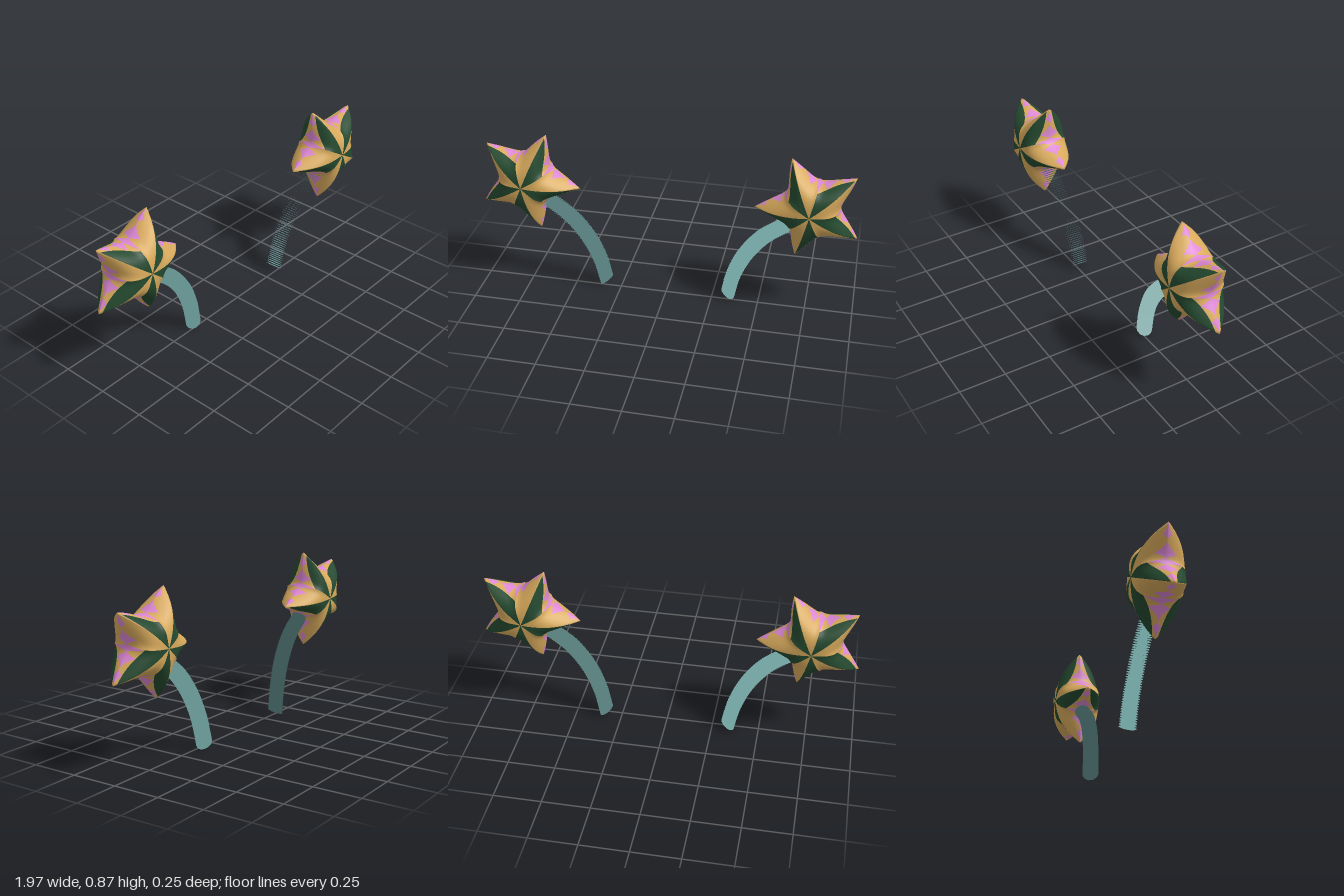
import * as THREE from 'three';
import { mergeGeometries, mergeVertices } from 'three/addons/utils/BufferGeometryUtils.js';

const COLORS = { gold: 0xd8aa5c, green: 0x24492f, pink: 0xdd88d5, stalk: 0x6a9a98 };
const TIP_R = 0.285, VALLEY_R = 0.15, HALF_DEPTH = 0.125;
const lerp = THREE.MathUtils.lerp;

// Point on the puffed star: s runs valley (0) to tip (1), t runs centre (0) to rim (1)
function starPoint(tipAngle, dir, s, t, zSign, side) {
  const a = tipAngle + dir * (1 - s) * Math.PI / 5;
  const r = t * (VALLEY_R + (TIP_R - VALLEY_R) * Math.pow(s, 2.1));
  const z = HALF_DEPTH * Math.pow(Math.max(0, 1 - Math.pow(t, lerp(4, 2.5, s))), lerp(0.5, 1, s));
  return new THREE.Vector3(side * r * Math.cos(a), r * Math.sin(a), zSign * z);
}

// Columns of half an arm; each span is a rising or falling side of a diamond
const SPANS = [[0, 0.18, false], [0.18, 0.44, true], [0.44, 0.7, false], [0.7, 0.85, true], [0.85, 1, false]];
const STEPS = 4, CAP_ROWS = 9;

function createStar(side) {
  const points = [], colors = [];
  const ab = new THREE.Vector3(), ac = new THREE.Vector3(), n = new THREE.Vector3();
  const addTriangle = (a, b, c, color) => {
    n.crossVectors(ab.subVectors(b, a), ac.subVectors(c, a));
    if (n.length() < 1e-10) return;
    const outward = n.dot(a) + n.dot(b) + n.dot(c) > 0;
    points.push(a, outward ? b : c, outward ? c : b);
    colors.push(color);
  };

  for (let arm = 0; arm < 5; arm++) for (const dir of [-1, 1]) for (const zSign of [-1, 1]) {
    const tipAngle = THREE.MathUtils.degToRad(41 + 72 * arm);
    const faceColor = dir > 0 ? 'green' : 'gold';
    const capEdge = s => lerp(0.85, 0.95, s);
    const cap = (s, v) => starPoint(tipAngle, dir, s, capEdge(s) * v, zSign, side);
    const band = (s, w) => starPoint(tipAngle, dir, s, 1 - (1 - capEdge(s)) * w * w, zSign, side);

    for (const [s0, s1, rising] of SPANS) for (let i = 0; i < STEPS; i++) {
      const sa = lerp(s0, s1, i / STEPS), sb = lerp(s0, s1, (i + 1) / STEPS);
      // Front or back face wedge
      for (let j = 0; j < CAP_ROWS; j++) {
        const v0 = j / CAP_ROWS, v1 = (j + 1) / CAP_ROWS;
        addTriangle(cap(sa, v0), cap(sa, v1), cap(sb, v1), faceColor);
        addTriangle(cap(sa, v0), cap(sb, v1), cap(sb, v0), faceColor);
      }
      // Diamond band round the rim, cells split along the diamond edges
      for (let j = 0; j < STEPS; j++) {
        const w0 = j / STEPS, w1 = (j + 1) / STEPS;
        const column = rising ? i : STEPS - 1 - i;
        const [inner, outer] = rising ? [sb, sa] : [sa, sb];
        addTriangle(band(outer, w0), band(inner, w0), band(inner, w1), j <= column ? 'pink' : 'gold');
        addTriangle(band(outer, w0), band(inner, w1), band(outer, w1), j < column ? 'pink' : 'gold');
      }
    }
  }

  // Smooth the whole skin first, then part it by colour
  const skin = mergeVertices(new THREE.BufferGeometry().setFromPoints(points), 1e-5);
  skin.computeVertexNormals();
  const star = new THREE.Group();
  star.name = 'star';
  const index = Array.from(skin.index.array);
  const names = { gold: 'starGoldPanels', green: 'starGreenPanels', pink: 'starPinkDiamonds' };
  for (const color of Object.keys(names)) {
    const part = skin.clone();
    part.setIndex(index.filter((_, k) => colors[Math.floor(k / 3)] === color));
    const mesh = new THREE.Mesh(part.toNonIndexed(), new THREE.MeshStandardMaterial({ color: COLORS[color] }));
    mesh.name = names[color];
    star.add(mesh);
  }
  star.position.set(side * 0.743, 0.613, 0);
  star.rotation.x = -0.04;
  return star;
}

// Springy stalk: a stack of thin tilted discs along a bent path
function createStalk(side) {
  const path = new THREE.CatmullRomCurve3([
    [0.335, 0.027, -0.018], [0.365, 0.16, -0.01], [0.425, 0.3, 0], [0.515, 0.42, 0.007], [0.63, 0.51, 0.01],
  ].map(([x, y, z]) => new THREE.Vector3(side * x, y, z)));
  const discs = path.getSpacedPoints(48).map(p => new THREE.CircleGeometry(0.044, 12)
    .rotateX(-Math.PI / 2)
    .rotateZ(-side * 0.65)
    .translate(p.x, p.y, p.z));
  const stalk = new THREE.Mesh(mergeGeometries(discs),
    new THREE.MeshStandardMaterial({ color: COLORS.stalk, side: THREE.DoubleSide }));
  stalk.name = 'springStalk';
  return stalk;
}

export function createModel() {
  const model = new THREE.Group();
  model.name = 'starAntennae';
  for (const side of [1, -1]) {
    const antenna = new THREE.Group();
    antenna.name = side > 0 ? 'leftAntenna' : 'rightAntenna';
    antenna.add(createStar(side), createStalk(side));
    model.add(antenna);
  }
  return model;
}
